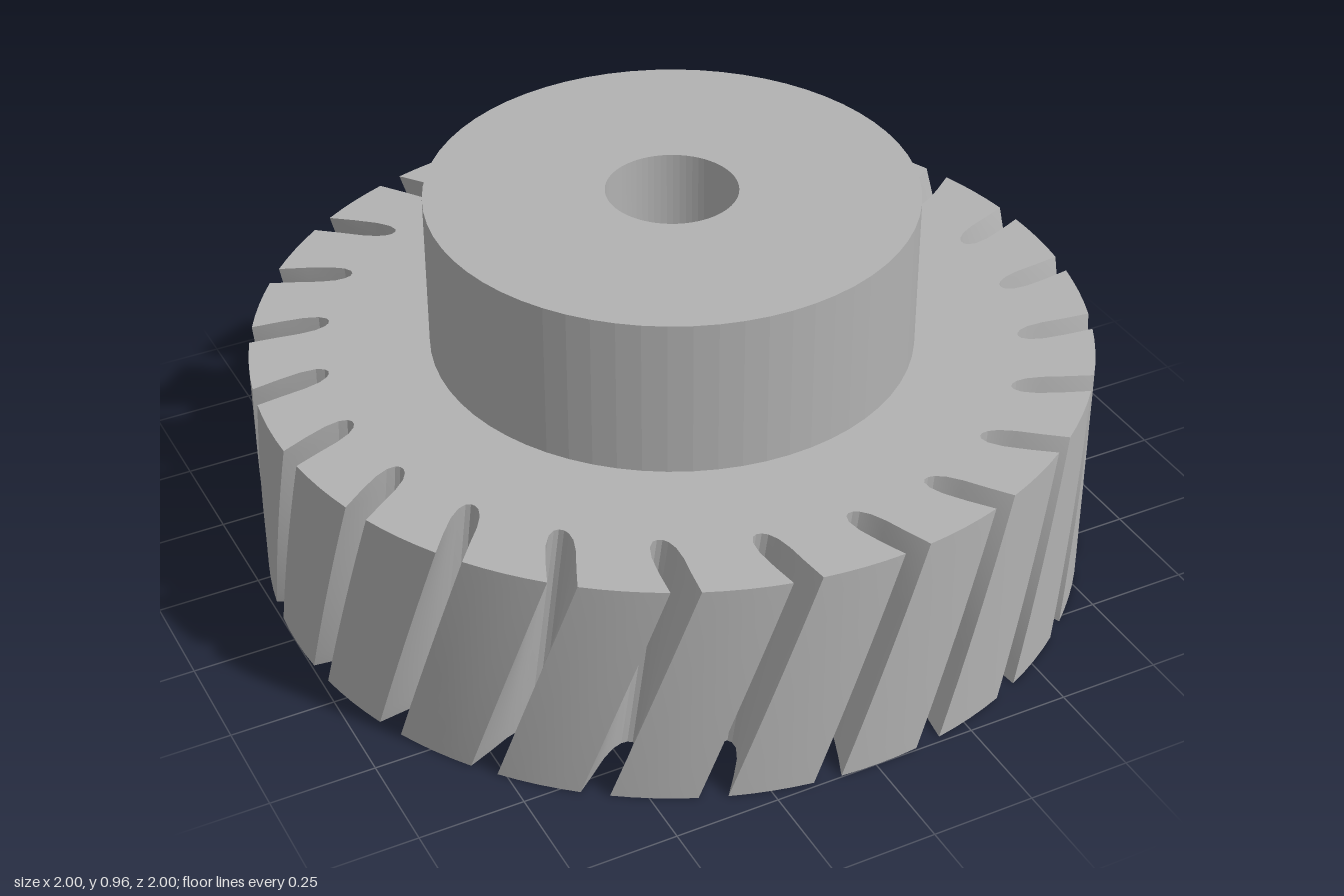
import * as THREE from 'three';
import { toCreasedNormals } from 'three/addons/utils/BufferGeometryUtils.js';

const SLOTS = 24, LAYERS = 14, RIM_H = 0.58, HUB_H = 0.965;
const BORE_R = 0.155, HUB_R = 0.575, SEG = 64;

// Half profile of one slot: s = 0 at the floor, 1 at the rim; w = half width
const half = [[1, 0.033], [0.65, 0.034], [0.35, 0.034], [0.15, 0.028], [0.04, 0.017], [0, 0.006]];
const slotProfile = [
  ...half.map(([s, w]) => [s, -w]),
  ...half.slice().reverse(),
];

const at = (r, a, y) => new THREE.Vector3(r * Math.sin(a), y, r * Math.cos(a));

// Outline of the slotted rim at height fraction t; slots twist more at the rim than at the floor
function rimSection(t) {
  const ring = [], step = (Math.PI * 2) / SLOTS, y = t * RIM_H;
  const outer = -0.12 + 0.2 * t, inner = -0.066 + 0.084 * t;
  for (let k = 0; k < SLOTS; k++) {
    for (const [s, w] of slotProfile) {
      const r = 0.82 + 0.18 * s;
      ring.push(at(r, k * step + THREE.MathUtils.lerp(inner, outer, s) + w / r, y));
    }
    // rounded tooth face up to the next slot
    for (let i = 1; i < 4; i++) {
      ring.push(at(1, k * step + outer + 0.033 + (step - 0.066) * (i / 4), y));
    }
  }
  return ring;
}

function rimGeometry() {
  const pos = [];
  const tri = (...v) => v.forEach((p) => pos.push(p.x, p.y, p.z));
  const rings = Array.from({ length: LAYERS + 1 }, (_, j) => rimSection(j / LAYERS));

  // side wall, with the slot walls and floors
  for (let j = 0; j < LAYERS; j++) {
    const lo = rings[j], hi = rings[j + 1], n = lo.length;
    for (let i = 0; i < n; i++) {
      const m = (i + 1) % n;
      tri(lo[i], lo[m], hi[i]);
      tri(lo[m], hi[m], hi[i]);
    }
  }

  // flat top and bottom faces around the central hole
  for (const [ring, up, holeR] of [[rings[0], -1, BORE_R], [rings[LAYERS], 1, HUB_R - 0.01]]) {
    const y = ring[0].y;
    const hole = Array.from({ length: SEG }, (_, i) => at(holeR, (-i / SEG) * Math.PI * 2, y));
    const flat = (p) => new THREE.Vector2(p.x, -p.z);
    const all = [...ring, ...hole];
    for (const f of THREE.ShapeUtils.triangulateShape(ring.map(flat), [hole.map(flat)])) {
      const [a, b, c] = f.map((i) => all[i]);
      const facing = b.clone().sub(a).cross(c.clone().sub(a)).y;
      if (facing * up > 0) tri(a, b, c);
      else tri(a, c, b);
    }
  }
  const g = new THREE.BufferGeometry();
  g.setAttribute('position', new THREE.Float32BufferAttribute(pos, 3));
  return toCreasedNormals(g, 0.35);
}

// Revolved part with faceted sides
function turned(points) {
  const g = new THREE.LatheGeometry(points.map(([r, y]) => new THREE.Vector2(r, y)), SEG);
  return toCreasedNormals(g, 0.05);
}

export function createModel() {
  const model = new THREE.Group();
  model.name = 'slottedWheel';
  const steel = new THREE.MeshStandardMaterial({ color: 0xb2b2b2 });
  steel.name = 'greySteel';

  const add = (name, geometry) => {
    const mesh = new THREE.Mesh(geometry, steel);
    mesh.name = name;
    model.add(mesh);
  };
  add('slottedRim', rimGeometry());
  add('hub', turned([[HUB_R, RIM_H], [HUB_R, HUB_H], [BORE_R, HUB_H]]));
  add('bore', turned([[BORE_R, HUB_H], [BORE_R, 0]]));
  return model;
}
